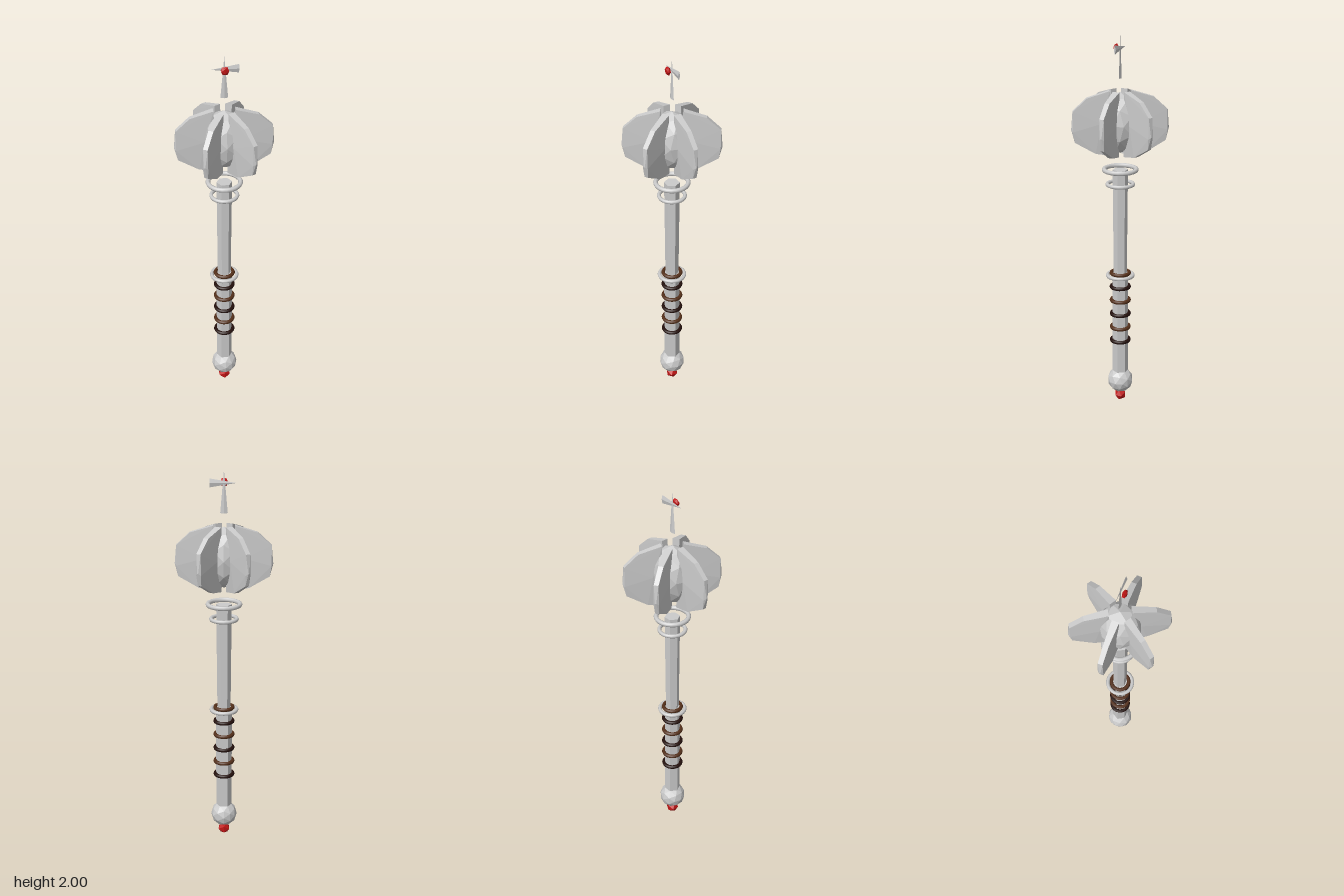
import * as THREE from 'three';
import { ConvexGeometry } from 'three/addons/geometries/ConvexGeometry.js';

const flat = (color) => new THREE.MeshStandardMaterial({ color, flatShading: true });

export function createModel() {
  const model = new THREE.Group();
  const steel = flat(0xcccccc);
  const ruby = flat(0xc01515);
  const ringSteel = new THREE.MeshStandardMaterial({ color: 0xcccccc });
  const darkLeather = new THREE.MeshStandardMaterial({ color: 0x24100c });
  const brownLeather = new THREE.MeshStandardMaterial({ color: 0x55301a });

  const add = (name, geometry, material, x = 0, y = 0, z = 0) => {
    const mesh = new THREE.Mesh(geometry, material);
    mesh.name = name;
    mesh.position.set(x, y, z);
    model.add(mesh);
    return mesh;
  };
  const ring = (name, y, outer, tube, material) =>
    add(name, new THREE.TorusGeometry(outer - tube, tube, 8, 24).rotateX(Math.PI / 2), material, 0, y);

  // Pommel with its gem
  add('pommelGem', new THREE.IcosahedronGeometry(0.034).scale(1, 0.94, 1), ruby, 0, 0.029);
  add('pommel', new THREE.IcosahedronGeometry(0.07, 1), steel, 0, 0.12);

  // Hexagonal shaft, corners towards the sides
  add('grip', new THREE.CylinderGeometry(0.042, 0.042, 0.59, 6).rotateY(Math.PI / 6), steel, 0, 0.455);
  add('shaft', new THREE.CylinderGeometry(0.04, 0.035, 0.57, 6).rotateY(Math.PI / 6), steel, 0, 1.03);

  // Leather bands and steel collars
  [0.36, 0.437, 0.515, 0.593, 0.67, 0.748].forEach((y, i) =>
    ring('gripBand', y, 0.057, 0.01, i % 2 ? brownLeather : darkLeather));
  ring('gripCollar', 0.735, 0.077, 0.01, ringSteel);
  ring('lowerCollar', 1.237, 0.077, 0.01, ringSteel);
  ring('upperCollar', 1.315, 0.095, 0.012, ringSteel);

  // Faceted core of the head
  add('headCore', new THREE.IcosahedronGeometry(0.105, 1).scale(1, 1.5, 1), steel, 0, 1.56);

  // Six flanges: [radius, height, half thickness] along the outline
  const outline = [
    [0.055, 1.725, 0.018], [0.17, 1.69, 0.013], [0.24, 1.625, 0.012], [0.249, 1.53, 0.003],
    [0.24, 1.52, 0.014], [0.232, 1.465, 0.01], [0.127, 1.405, 0.014], [0.04, 1.39, 0.01],
    [0.1, 1.56, 0.021],
  ];
  const flange = new ConvexGeometry(outline.flatMap(([r, y, t]) =>
    [new THREE.Vector3(r, y, t), new THREE.Vector3(r, y, -t)]));
  for (let i = 0; i < 6; i++) add('flange', flange, steel).rotation.y = (i * Math.PI) / 3;

  // Crowning cross of two thin tapered spikes, with a gem in front
  const spike = (radius, length) => new THREE.ConeGeometry(radius, length, 4).scale(1, 1, 0.25);
  add('crownSpike', spike(0.019, 0.215), steel, 0, 1.8925);
  add('crownCrossbar', spike(0.022, 0.134).rotateZ(Math.PI / 2), steel, 0.004, 1.935);
  add('crownGem', new THREE.IcosahedronGeometry(0.023).scale(1, 1, 0.55), ruby, 0, 1.935, 0.022);

  return model;
}
